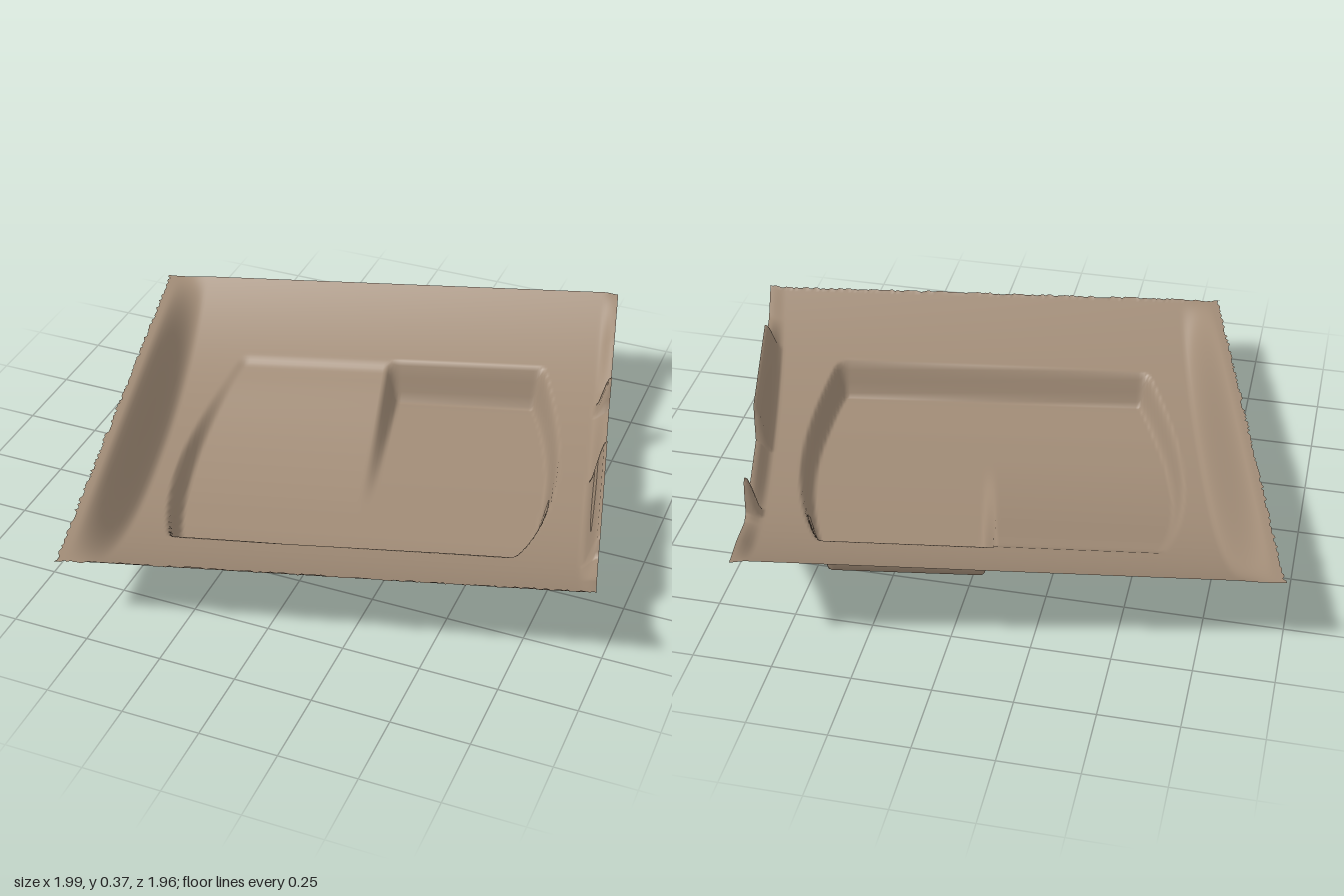
import * as THREE from 'three';

const { lerp, smoothstep, clamp } = THREE.MathUtils;

// Corners of the sheet: back left, back right, front right, front left (x, z)
const BL = [-1, -0.63], BR = [0.61, -0.98], FR = [0.99, 0.61], FL = [-0.6, 0.98];

// Height of the torn right rim, from back (0) to front (1)
const RIGHT_RIM = [
  [0, 0.38], [0.12, 0.31], [0.24, 0.225], [0.27, 0.225], [0.28, 0.33], [0.3, 0.33],
  [0.31, 0.22], [0.52, 0.22], [0.525, 0.35], [0.84, 0.35], [0.85, 0.29], [0.92, 0.29], [1, 0.35],
];

function sample(table, v) {
  for (let i = 1; i < table.length; i++) {
    const [v0, y0] = table[i - 1], [v1, y1] = table[i];
    if (v <= v1) return lerp(y0, y1, (v - v0) / (v1 - v0));
  }
  return table[table.length - 1][1];
}

function seeded(seed) {
  return () => {
    seed = (seed * 16807) % 2147483647;
    return seed / 2147483647 - 0.5;
  };
}

// Gently dished sheet, curling up to the front and the back
function sheetHeight(s, t) {
  const k = Math.abs(t) / 0.82;
  return 0.125 + 0.053 * s + (t > 0 ? 0.185 : 0.215) * Math.pow(k, 2.4);
}

// 1 inside the pocket, 0 outside; its two sides bow outwards
function pocketMask(s, t) {
  const half = 0.53 + 0.09 * (1 - clamp((t / 0.51) ** 2, 0, 1));
  const side = 1 - smoothstep(Math.abs(s - 0.03), half - 0.02, half + 0.02);
  const ends = 1 - smoothstep(Math.abs(t + 0.01), 0.485, 0.525);
  return side * ends;
}

// Pocket floor: right half sunk to the back, left half ramping up to the sheet
function floorHeight(s, t, sheet) {
  const base = 0.035 + 0.045 * s + 0.025 * smoothstep(t, 0.25, 0.5);
  const right = base + 0.02 * smoothstep(-t, 0, 0.5);
  const left = lerp(base, sheet - 0.01, smoothstep(-t, -0.15, 0.45));
  return lerp(left, right, smoothstep(s, 0.02, 0.065));
}

function trayHeight(u, v, x, z) {
  const s = 0.977 * x - 0.213 * z, t = 0.213 * x + 0.977 * z;
  const sheet = sheetHeight(s, t);
  let y = lerp(sheet, floorHeight(s, t, sheet), pocketMask(s, t));
  // steep left wall and nearly upright right wall
  y = lerp(y, lerp(0.3, 0.27, v), smoothstep(-u, -0.09, -0.018));
  return lerp(y, sample(RIGHT_RIM, v), smoothstep(u, 0.968, 0.998));
}

function buildTray(n) {
  const geometry = new THREE.PlaneGeometry(1, 1, n, n);
  const pos = geometry.attributes.position;
  const noise = seeded(7);
  for (let j = 0, i = 0; j <= n; j++) {
    for (let k = 0; k <= n; k++, i++) {
      const u = k / n, v = j / n;
      let x = lerp(lerp(BL[0], BR[0], u), lerp(FL[0], FR[0], u), v);
      let z = lerp(lerp(BL[1], BR[1], u), lerp(FL[1], FR[1], u), v);
      const y = trayHeight(u, v, x, z);
      // ragged left and front borders
      if (k === 0 && j > 0 && j < n) x += 0.012 * noise() + 0.006;
      if (j === n && k > 0 && k < n) z += 0.012 * noise() - 0.006;
      pos.setXYZ(i, x, y, z);
    }
  }
  geometry.computeBoundingBox();
  geometry.translate(0, -geometry.boundingBox.min.y, 0);
  geometry.computeVertexNormals();
  return geometry;
}

export function createModel() {
  const group = new THREE.Group();
  group.name = 'pressedTray';
  const tan = new THREE.MeshStandardMaterial({ color: 0xa08b76, side: THREE.DoubleSide });
  tan.name = 'dull tan';
  const tray = new THREE.Mesh(buildTray(170), tan);
  tray.name = 'traySheet';
  group.add(tray);
  return group;
}
